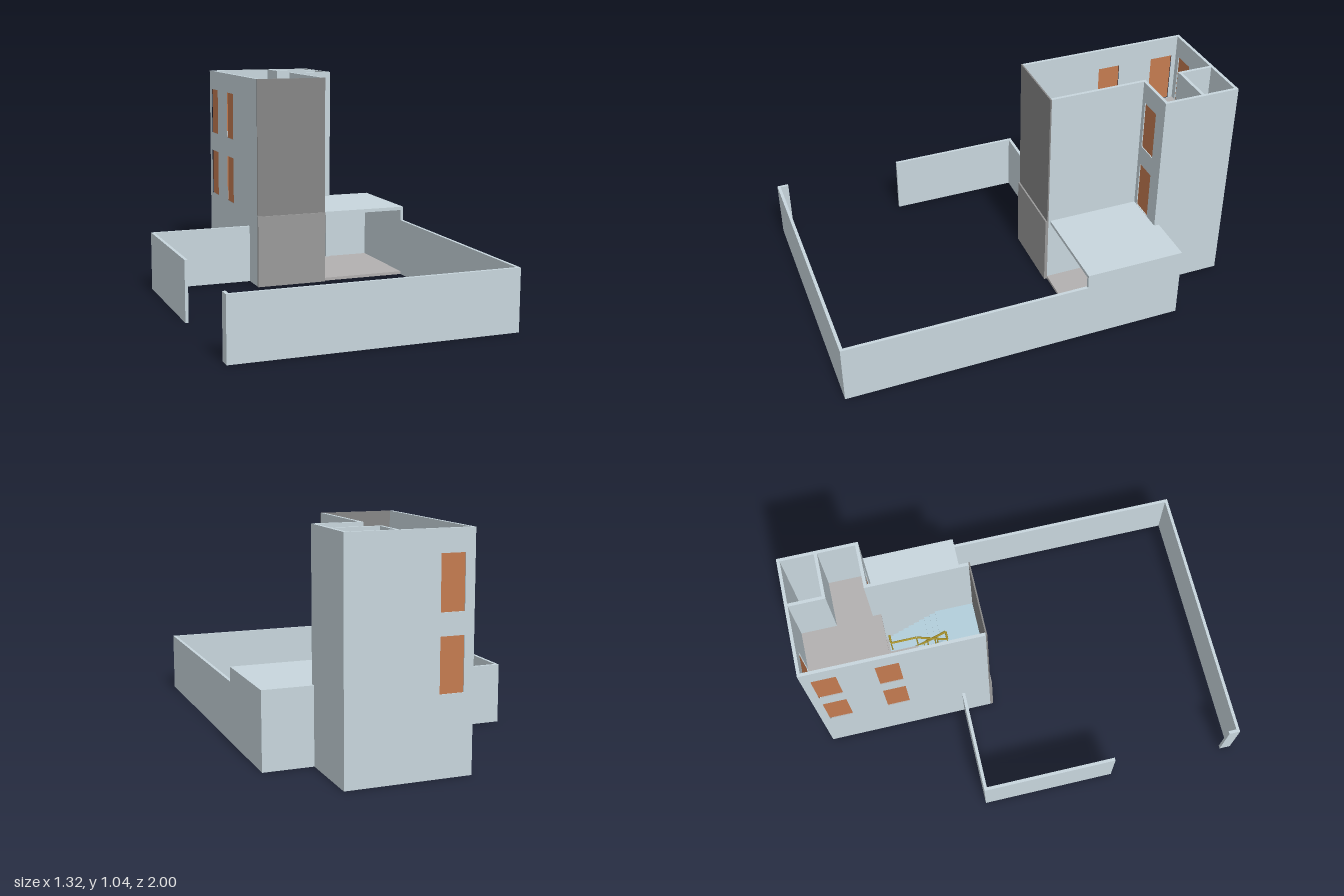
import * as THREE from 'three';

const mat = (color, side = THREE.FrontSide) => new THREE.MeshStandardMaterial({ color, side });
const WALL = mat(0xc8d6dd), FLOOR = mat(0xb2b0b0), DOOR = mat(0xc47b50);
const STAIR = mat(0xb2cedb), RAIL = mat(0xa8922c);
const PANEL = mat(0x868686), PLINTH = mat(0x9a9a9a);
const T = 0.015; // wall thickness
const TOP = 1.045, LEVEL1 = 0.36, LEVEL2 = 0.7, DOOR_H = 0.242;

export function createModel() {
  const model = new THREE.Group();

  const add = (parent, name, geometry, material) => {
    const mesh = new THREE.Mesh(geometry, material);
    mesh.name = name;
    parent.add(mesh);
    return mesh;
  };

  // box given by its two extreme corners
  const block = (parent, name, material, x0, x1, y0, y1, z0, z1) => {
    const mesh = add(parent, name, new THREE.BoxGeometry(x1 - x0, y1 - y0, z1 - z0), material);
    mesh.position.set((x0 + x1) / 2, (y0 + y1) / 2, (z0 + z1) / 2);
    return mesh;
  };

  const rect = (Type, a, b, y0, y1) => {
    const s = new Type();
    s.moveTo(a, y0); s.lineTo(b, y0); s.lineTo(b, y1); s.lineTo(a, y1);
    s.closePath();
    return s;
  };

  // wall with openings [from, to, bottom, top, hasDoor], along x or along z
  const wall = (parent, name, axis, from, to, y0, y1, at, openings = []) => {
    const g = new THREE.Group();
    g.name = name;
    const s = axis === 'x' ? 1 : -1;
    const shape = rect(THREE.Shape, s * from, s * to, y0, y1);
    for (const [a, b, c, d] of openings) shape.holes.push(rect(THREE.Path, s * a, s * b, c, d));
    add(g, name + 'Body', new THREE.ExtrudeGeometry(shape, { depth: T, bevelEnabled: false }), WALL);
    for (const [a, b, c, d, door] of openings) {
      if (!door) continue;
      const leaf = add(g, 'door', new THREE.BoxGeometry(b - a, d - c, T * 0.4), DOOR);
      leaf.position.set(s * (a + b) / 2, (c + d) / 2, T / 2);
    }
    if (axis === 'x') g.position.z = at;
    else { g.rotation.y = Math.PI / 2; g.position.x = at; }
    parent.add(g);
  };
  // doors repeated on both upper storeys
  const doors = (a, b) => [LEVEL1 + 0.001, LEVEL2 + 0.002].map(y => [a, b, y, y + DOOR_H, true]);

  // tower walls
  const tower = new THREE.Group();
  tower.name = 'tower';
  model.add(tower);
  wall(tower, 'sideWallRight', 'z', -1, -0.16, 0, TOP, -0.15, [...doors(-0.96, -0.845), ...doors(-0.67, -0.56)]);
  wall(tower, 'backWall', 'x', -0.135, 0.41, 0, TOP, -1, doors(-0.106, 0.004));
  wall(tower, 'backBlockSideWall', 'z', -1, -0.625, 0, TOP, 0.41);
  wall(tower, 'backBlockFrontWall', 'x', 0.21, 0.41, 0, TOP, -0.64,
    [[0.235, 0.405, 0.016, 0.34, false], ...doors(0.235, 0.345)]);
  wall(tower, 'stairSideWall', 'z', -0.64, -0.16, 0, TOP, 0.195);

  // shaft, open at both ends
  wall(tower, 'shaftSideWall', 'z', -0.985, -0.815, 0, TOP, 0.185);
  wall(tower, 'shaftFrontWall', 'x', 0.2, 0.41, 0, TOP, -0.83, [[0.25, 0.37, 0.016, 0.315, false]]);

  // dark front panels
  block(tower, 'frontPanel', PANEL, -0.15, 0.21, LEVEL1, TOP, -0.16, -0.153);
  block(tower, 'frontPlinth', PLINTH, -0.15, 0.21, 0, LEVEL1, -0.16, -0.145);

  // floor slabs, upper ones notched for the stairwell and the shaft
  const slab = (name, points, y) => {
    const shape = new THREE.Shape(points.map(([x, z]) => new THREE.Vector2(x, -z)));
    const g = new THREE.ExtrudeGeometry(shape, { depth: T, bevelEnabled: false });
    g.rotateX(-Math.PI / 2);
    add(tower, name, g, FLOOR).position.y = y - T;
  };
  const backOutline = [[0.41, -0.64], [0.41, -0.815], [0.185, -0.815], [0.185, -0.985], [-0.135, -0.985]];
  slab('groundFloor', [[-0.135, -0.16], [0.195, -0.16], [0.195, -0.64], ...backOutline], T + 0.001);
  for (const y of [LEVEL1, LEVEL2])
    slab('upperFloor', [[-0.135, -0.46], [0, -0.46], [0, -0.6], [0.195, -0.6], [0.195, -0.64], ...backOutline], y);

  // stairs: a long flight to the landing, then a short one back up
  const bar = (parent, a, b, r = 0.005) => {
    const path = new THREE.LineCurve3(new THREE.Vector3(...a), new THREE.Vector3(...b));
    add(parent, 'handrail', new THREE.TubeGeometry(path, 1, r, 8), RAIL);
  };
  const stair = (y0, y1) => {
    const g = new THREE.Group();
    g.name = 'stair';
    model.add(g);
    const rise = (y1 - y0) / 15, run = 0.028, zL = -0.32, mid = y0 + 10 * rise;
    const flight = (name, x0, x1, base, steps, dir) => {
      // stepped side profile with a sloping soffit
      const n = steps, zAt = i => (dir > 0 ? zL - (n - i) * run : zL - i * run);
      const s = new THREE.Shape();
      s.moveTo(-zAt(0), base);
      for (let i = 0; i < n; i++) {
        s.lineTo(-zAt(i), base + (i + 1) * rise);
        s.lineTo(-zAt(i + 1), base + (i + 1) * rise);
      }
      s.lineTo(-zAt(n), base + n * rise - 0.02);
      s.lineTo(-zAt(1), base);
      const geo = new THREE.ExtrudeGeometry(s, { depth: x1 - x0, bevelEnabled: false });
      geo.rotateY(Math.PI / 2);
      add(g, name, geo, STAIR).position.x = x0;
    };
    flight('longFlight', 0.05, 0.195, y0, 10, 1);
    flight('shortFlight', -0.135, 0, mid, 5, -1);
    block(g, 'landing', STAIR, -0.135, 0.195, mid - 0.02, mid, zL, -0.16);
    // handrails and posts beside the open well
    const h = 0.09;
    bar(g, [0.047, y0 + h, -0.615], [0.047, mid + h, zL], 0.006);
    bar(g, [0.047, mid + h, zL], [0.007, mid + h, zL]);
    bar(g, [0.007, mid + h, zL], [0.007, y1 + h, -0.46]);
    bar(g, [0.007, y1 + h, -0.46], [0.007, y1 + h, -0.58]);
    bar(g, [0.007, y1 + h, -0.58], [0.047, y1 + h, -0.58]);
    for (let i = 0; i <= 5; i++) {
      const t = i / 5, z = -0.6 + 0.28 * t, y = y0 + (mid - y0) * t;
      bar(g, [0.047, y, z], [0.047, y + h, z], 0.003);
    }
    for (let i = 0; i <= 3; i++) {
      const t = i / 3, z = zL - 0.14 * t, y = mid + (y1 - mid) * t;
      bar(g, [0.007, y, z], [0.007, y + h, z], 0.003);
    }
    for (const x of [0.007, 0.047]) bar(g, [x, y1, -0.58], [x, y1 + h, -0.58], 0.003);
  };
  stair(T, LEVEL1);
  stair(LEVEL1, LEVEL2);

  // low annex with an open front
  const annex = new THREE.Group();
  annex.name = 'annex';
  model.add(annex);
  block(annex, 'annexRoof', WALL, 0.21, 0.66, 0.342, LEVEL1 - 0.001, -0.625, -0.17);
  block(annex, 'annexRoofEdge', WALL, 0.425, 0.66, 0.342, LEVEL1 - 0.001, -0.65, -0.625);
  block(annex, 'annexFloor', FLOOR, 0.21, 0.645, 0, T, -0.635, -0.16);
  wall(annex, 'annexBackWall', 'x', 0.425, 0.66, 0, 0.342, -0.65);
  wall(annex, 'annexSideWall', 'z', -0.635, -0.17, 0, 0.342, 0.645);

  // yard walls with a gap for the gate
  const yard = new THREE.Group();
  yard.name = 'yardWalls';
  model.add(yard);
  const H = 0.288;
  wall(yard, 'yardBackWall', 'x', -0.66, -0.15, 0, H, -0.3);
  wall(yard, 'yardRightWall', 'z', -0.285, 0.36, 0, H, -0.66);
  wall(yard, 'gateStub', 'z', 0.945, 0.985, 0, H, -0.66);
  wall(yard, 'yardFrontWall', 'x', -0.66, 0.66, 0, H, 0.985);
  wall(yard, 'yardLeftWall', 'z', -0.17, 0.985, 0, H, 0.645);

  return model;
}
